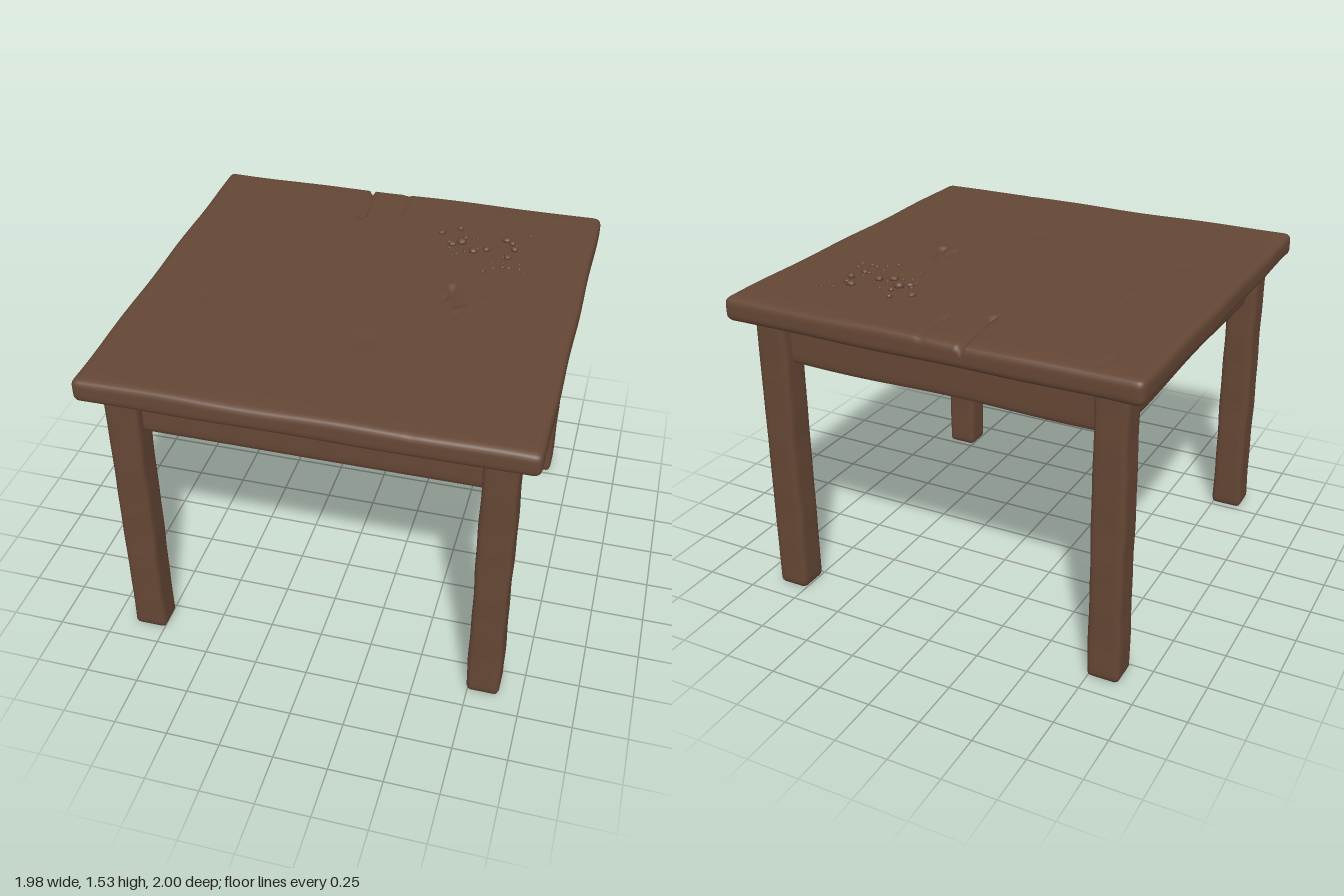
import * as THREE from 'three';
import { mergeVertices, mergeGeometries } from 'three/addons/utils/BufferGeometryUtils.js';

// Box with rounded edges, placed at a centre and then worn by a rule acting on each vertex
function wornBox(size, centre, segments, radius, wear) {
  let geo = new THREE.BoxGeometry(...size, ...segments);
  geo.deleteAttribute('uv');
  geo.deleteAttribute('normal');
  geo = mergeVertices(geo, 1e-5);
  const half = new THREE.Vector3(...size).multiplyScalar(0.5).subScalar(radius);
  const low = half.clone().negate();
  const mid = new THREE.Vector3(...centre);
  const p = new THREE.Vector3();
  const core = new THREE.Vector3();
  const pos = geo.attributes.position;
  for (let i = 0; i < pos.count; i++) {
    p.fromBufferAttribute(pos, i);
    core.copy(p).clamp(low, half);
    p.sub(core).setLength(radius).add(core).add(mid);
    wear(p, mid);
    pos.setXYZ(i, p.x, p.y, p.z);
  }
  geo.computeVertexNormals();
  return geo;
}

// Small seeded random numbers
function seeded(seed) {
  return () => {
    seed = (seed * 16807) % 2147483647;
    return seed / 2147483647;
  };
}

// Cracks in the top: x0, z0, x1, z1, half width, depth
const cracks = [
  [-0.20, -1.02, -0.18, -0.68, 0.014, 0.03],
  [-0.01, -1.02, 0.00, -0.77, 0.012, 0.015],
  [-0.79, -0.92, -0.79, -0.84, 0.010, 0.01],
  [0.385, -0.92, 0.385, -0.72, 0.010, 0.008],
  [0.40, -0.14, 0.38, -0.01, 0.014, 0.02],
  [0.40, -0.13, 0.46, 0.00, 0.022, 0.03],
  [0.44, -0.02, 0.47, 0.12, 0.010, 0.012],
  [0.47, 0.66, 0.47, 1.02, 0.010, 0.008],
  [-0.61, -0.35, -0.61, -0.17, 0.010, 0.006],
];
// Shallow dents in the top: x, z, radius, depth
const dents = [[0.12, 0.40, 0.09, 0.006], [-0.68, 0.24, 0.07, 0.005], [0.60, 0.02, 0.12, 0.004]];

function crackDepth(x, z) {
  let depth = 0;
  for (const [x0, z0, x1, z1, width, deep] of cracks) {
    const dx = x1 - x0, dz = z1 - z0;
    const t = THREE.MathUtils.clamp(((x - x0) * dx + (z - z0) * dz) / (dx * dx + dz * dz), 0, 1);
    const away = Math.hypot(x - x0 - t * dx, z - z0 - t * dz);
    depth = Math.max(depth, deep * Math.max(0, 1 - away / width));
  }
  for (const [dx, dz, r, deep] of dents) {
    depth += deep * Math.exp(-(((x - dx) ** 2 + (z - dz) ** 2) / (r * r)) * 2);
  }
  return depth;
}

function wearTop(p, mid) {
  const { x, z } = p;
  const edge = THREE.MathUtils.smoothstep(Math.max(Math.abs(x), Math.abs(z)), 0.88, 1);
  const wave = Math.sin(x * 7 + z * 3) * Math.cos(z * 6 - x * 2);
  if (p.y > mid.y) p.y -= crackDepth(x, z) + edge * 0.007 * (0.5 + 0.5 * wave);
  else p.y += 0.003 * wave;
  p.x *= 1 - 0.004 * (0.5 + 0.5 * Math.sin(z * 9));
  p.z *= 1 - 0.004 * (0.5 + 0.5 * Math.sin(x * 8 + 1));
}

// Hand-cut unevenness along the legs
function wearLeg(p, mid) {
  const s = Math.sign(mid.x) + 2 * Math.sign(mid.z);
  const bulge = 1 + 0.025 * Math.sin(p.y * 9 + s * 2) + 0.015 * Math.sin(p.y * 23 + s);
  p.x = mid.x + (p.x - mid.x) * bulge;
  p.z = mid.z + (p.z - mid.z) * (2 - bulge);
}

function wearApron(p) {
  const wave = Math.sin(p.x * 6 + p.z * 5) * 0.003;
  p.y += wave;
  p.x += wave;
  p.z += wave;
}

export function createModel() {
  const table = new THREE.Group();
  table.name = 'table';
  const wood = new THREE.MeshStandardMaterial({ color: 0x654735 });
  wood.name = 'dark brown wood';

  const add = (name, geometry) => {
    const mesh = new THREE.Mesh(geometry, wood);
    mesh.name = name;
    table.add(mesh);
  };

  add('tableTop', wornBox([1.98, 0.115, 2], [0, 1.448, 0], [120, 8, 120], 0.032, wearTop));

  // Four legs
  for (const [sx, side] of [[-1, 'Right'], [1, 'Left']]) {
    for (const [sz, end] of [[-1, 'back'], [1, 'front']]) {
      add(`${end}${side}Leg`,
        wornBox([0.153, 1.41, 0.146], [sx * 0.82, 0.705, sz * 0.838], [8, 60, 8], 0.022, wearLeg));
    }
  }

  // Rails under the top, set back from the leg faces
  for (const s of [-1, 1]) {
    add(s > 0 ? 'frontApron' : 'backApron',
      wornBox([1.6, 0.23, 0.075], [0, 1.295, s * 0.82], [50, 10, 6], 0.014, wearApron));
    add(s > 0 ? 'leftApron' : 'rightApron',
      wornBox([0.075, 0.23, 1.6], [s * 0.8, 1.295, 0], [6, 10, 50], 0.014, wearApron));
  }

  // Crumbs scattered on the top: x, z, radius
  const random = seeded(41);
  const spots = [
    [0.36, -0.55, 0.024], [0.43, -0.48, 0.02], [0.49, -0.51, 0.02], [0.62, -0.54, 0.022],
    [0.57, -0.62, 0.02], [0.33, -0.68, 0.018], [0.25, -0.62, 0.018], [0.60, -0.46, 0.018],
    [0.32, -0.52, 0.018], [0.60, -0.60, 0.017], [0.37, -0.60, 0.015], [0.51, -0.31, 0.012],
  ];
  for (let i = 0; i < 28; i++) {
    spots.push([0.3 + random() * 0.4, -0.7 + random() * 0.4, 0.006 + random() * 0.005]);
  }
  const crumbs = spots.map(([x, z, r]) => {
    const crumb = new THREE.IcosahedronGeometry(r, 1);
    crumb.scale(0.8 + random() * 0.4, 0.75, 0.7 + random() * 0.4);
    crumb.rotateY(random() * Math.PI);
    return crumb.translate(x, 1.503 + r * 0.45, z);
  });
  add('crumbs', mergeGeometries(crumbs));

  return table;
}
